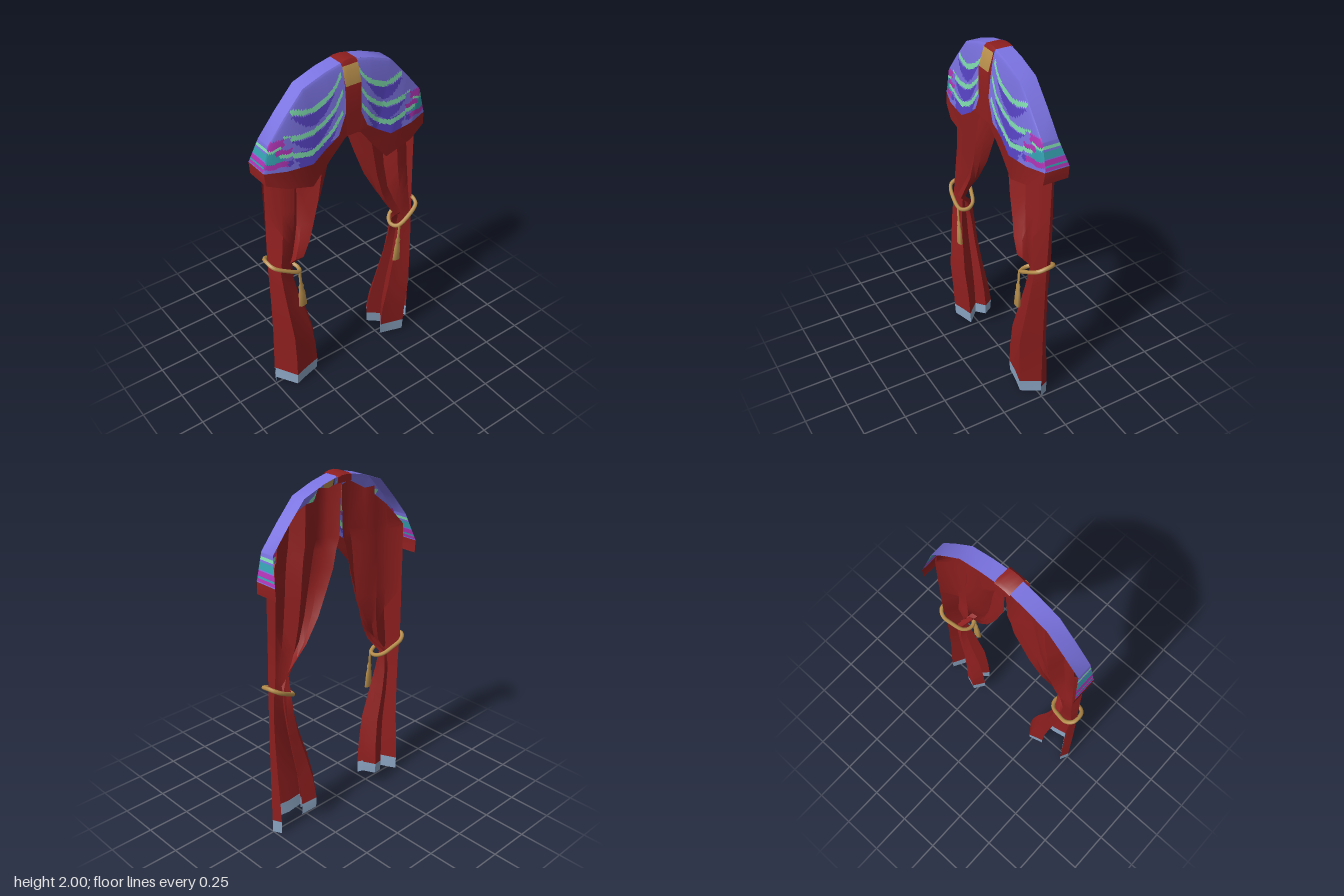
import * as THREE from 'three';
import { toCreasedNormals } from 'three/addons/utils/BufferGeometryUtils.js';

const mat = (name, color, side = THREE.DoubleSide) => {
  const m = new THREE.MeshStandardMaterial({ color, side });
  m.name = name;
  return m;
};

// Piecewise-linear lookup of y in a list of [x, y] points
function interp(pts, x) {
  if (x <= pts[0][0]) return pts[0][1];
  for (let i = 1; i < pts.length; i++) {
    const [a, b] = [pts[i - 1], pts[i]];
    if (x <= b[0]) return b[1] + (a[1] - b[1]) * (b[0] - x) / (b[0] - a[0]);
  }
  return pts[pts.length - 1][1];
}

// Sheet through rows of points; paint(row, centre) picks each cell's material
function sheet(name, rows, mats, crease, paint) {
  const cols = rows[0].length;
  const buckets = mats.map(() => []);
  for (let r = 0; r < rows.length - 1; r++) {
    for (let c = 0; c < cols - 1; c++) {
      const p = rows[r][c], q = rows[r + 1][c + 1];
      const mid = [(p[0] + q[0]) / 2, (p[1] + q[1]) / 2];
      const a = r * cols + c, d = a + cols;
      buckets[paint(r, mid)].push(a, d, a + 1, a + 1, d, d + 1);
    }
  }
  const g = new THREE.BufferGeometry();
  g.setAttribute('position', new THREE.Float32BufferAttribute(rows.flat(2), 3));
  g.setIndex(buckets.flat());
  let start = 0;
  buckets.forEach((b, i) => {
    if (b.length) g.addGroup(start, b.length, i);
    start += b.length;
  });
  const mesh = new THREE.Mesh(toCreasedNormals(g, crease), mats);
  mesh.name = name;
  return mesh;
}

// Arch outline shared by the valance and the curtain tops
const ARCH = [[0, 2], [0.04, 1.99], [0.14, 1.967], [0.27, 1.92], [0.38, 1.80], [0.48, 1.68], [0.515, 1.54]];

// Valance ribs: top x,y / cloth bottom x,y,z / border bottom x,y,z
const RIBS = [
  [0.035, 1.99, 0.04, 1.74, 0.08, 0.02, 1.60, 0.08],
  [0.14, 1.967, 0.09, 1.62, 0.085, 0.05, 1.59, 0.082],
  [0.27, 1.92, 0.16, 1.565, 0.075, 0.14, 1.475, 0.068],
  [0.38, 1.80, 0.25, 1.51, 0.085, 0.24, 1.36, 0.066],
  [0.48, 1.68, 0.40, 1.52, 0.075, 0.40, 1.415, 0.075],
  [0.515, 1.54, 0.515, 1.53, 0.04, 0.51, 1.46, 0.045],
];

// Swag pattern: mint lines with dark folds below them
const SWAGS = [
  [[0.05, 1.94], [0.10, 1.87], [0.16, 1.825], [0.22, 1.80], [0.28, 1.80], [0.345, 1.82]],
  [[0.05, 1.85], [0.10, 1.77], [0.17, 1.71], [0.24, 1.68], [0.31, 1.68], [0.40, 1.695]],
  [[0.06, 1.74], [0.12, 1.66], [0.18, 1.605], [0.25, 1.575], [0.32, 1.585], [0.42, 1.605]],
];
const [LIGHT, DARK, MINT, TEAL, PINK, RED] = [0, 1, 2, 3, 4, 5];

function frontPaint(x, y) {
  x = Math.abs(x);
  if (x > 0.36 && y < 1.695) {
    const yy = y + 0.005 * Math.sin(x * 70);
    if (yy > 1.655) return x > 0.4 && x < 0.485 ? PINK : LIGHT;
    if (yy > 1.64) return x > 0.42 ? MINT : LIGHT;
    if (yy > 1.615) return x < 0.45 ? PINK : TEAL;
    if (yy > 1.595) return x < 0.43 ? MINT : TEAL;
    if (yy > 1.578) return x > 0.41 ? TEAL : LIGHT;
    if (yy > 1.548) return x > 0.39 ? PINK : DARK;
    return LIGHT;
  }
  for (const s of SWAGS) {
    const d = y - interp(s, x);
    if (x < s[0][0] || x > s[s.length - 1][0]) continue;
    if (Math.abs(d) < 0.014) return MINT;
    const lens = 0.065 * Math.sin(Math.PI * Math.min(1, Math.max(0, (x - 0.09) / 0.27)));
    if (d < -0.018 && d > -0.018 - lens) return DARK;
  }
  return y < 1.60 && x < 0.33 ? DARK : LIGHT;
}

// Side wing colour bands: lower limit and colour
const BANDS = [[1.66, LIGHT], [1.643, MINT], [1.632, LIGHT], [1.595, TEAL], [1.587, LIGHT], [1.563, PINK],
  [1.553, TEAL], [1.535, PINK]];
const wingPaint = y => (BANDS.find(b => y > b[0]) || [0, LIGHT])[1];

function valance(s, mats) {
  const group = new THREE.Group();
  const NU = 60, NV = 48;
  const rib = u => {
    const i = Math.min(4, Math.floor(u * 5)), t = u * 5 - i;
    return RIBS[i].map((v, k) => v + (RIBS[i + 1][k] - v) * t);
  };
  const front = [];
  for (let v = 0; v <= NV; v++) {
    const t = v / NV;
    front.push(Array.from({ length: NU + 1 }, (_, c) => {
      const [x0, y0, x1, y1, z1] = rib(c / NU);
      return [s * (x0 + (x1 - x0) * t), y0 + (y1 - y0) * t, 0.035 + (z1 - 0.035) * Math.pow(t, 0.65)];
    }));
  }
  const border = [2, 5].map(k => RIBS.map(r => [s * r[k], r[k + 1], r[k + 2]]));
  group.add(sheet('valanceFront', front, mats, 0.65, (r, m) => frontPaint(m[0], m[1])));
  group.add(sheet('valanceBorder', border, mats, 0.65, () => RED));

  // Top strip following the arch, flaring backward into the side wing
  const path = ARCH.slice(1, 6).map(([x, y]) => [x, y, -0.053]);
  for (let i = 1; i <= 28; i++) {
    const t = i / 28;
    path.push([0.48 + 0.035 * t, 1.68 - 0.15 * t, -0.053 - 0.05 * t]);
  }
  path.push([0.51, 1.46, -0.103]);
  const strip = path.map(([x, y, z]) => [[s * x, y, y < 1.5 ? 0.045 : 0.036], [s * x, y, z]]);
  group.add(sheet('valanceTop', strip, mats, 0.65, (r, m) => r === strip.length - 2 ? RED : wingPaint(m[1])));
  group.name = s > 0 ? 'leftValance' : 'rightValance';
  return group;
}

// Pleats from outer to inner edge: [fraction of width, z] when hanging, gathered low, and hem lift
const UPPER = [[0, -0.015], [0.07, -0.048], [0.2, 0.015], [0.38, 0.03], [0.5, -0.035], [0.63, -0.025], [0.78, 0.03], [0.9, 0.015], [1, -0.035]];
const LOWER = [[0, 0.005], [0.08, -0.048], [0.33, 0.1], [0.6, 0.078], [0.86, 0.07], [0.7, 0.0], [1, -0.025], [0.85, -0.088], [0.58, -0.055]];
const LIFT = [0, 0, 0.005, 0.012, 0.03, 0.06, 0.1, 0.09, 0.06];
// Height, inner edge x, blend toward the lower pleats, depth to front and back, forward bulge of the inner edge
const LEVELS = [
  [0, 0.2, 1, 0.85, 0.95, 0], [0.078, 0.2, 1, 0.9, 1, 0], [0.22, 0.213, 1, 0.95, 0.85, 0], [0.4, 0.25, 1, 1.03, 0.62, 0],
  [0.6, 0.305, 1, 0.8, 0.5, 0], [0.74, 0.334, 0.9, 0.7, 0.5, 0], [0.86, 0.343, 0.75, 0.62, 0.6, 0.01], [0.93, 0.3, 0.6, 0.7, 0.75, 0.07],
  [1.02, 0.235, 0.4, 0.9, 0.85, 0.055], [1.1, 0.188, 0.3, 1, 0.9, 0.035], [1.24, 0.128, 0.15, 1.1, 0.95, 0.02], [1.4, 0.082, 0.05, 1.1, 1, 0.01],
  [1.5, 0.058, 0, 1.1, 1, 0], [1.6, 0.035, 0, 1, 1, 0], [1.66, 0.012, 0, 0.9, 1, 0],
];

function curtain(s, mats) {
  const topAt = (x, i) => interp(ARCH, x) - (i % 2 ? 0.07 : 0.045);
  const rows = LEVELS.map(([y, inner, b, front, back, bulge]) => UPPER.map(([f, z], i) => {
    const g = f + (LOWER[i][0] - f) * b;
    const lift = LIFT[i] * Math.max(0, 1 - y / 0.6);
    const x = 0.5 - g * (0.5 - inner), zz = z + (LOWER[i][1] - z) * b;
    return [s * x, Math.min(y + lift, topAt(x, i)), zz * (zz > 0 ? front : back) + bulge * (i > 4 ? 1 : 0)];
  }));
  // Jagged top edge tucked under the arch
  rows.push(UPPER.map(([f, z], i) => {
    const x = 0.487 * (1 - f) + 0.001;
    return [s * x, topAt(x, i), z * (z > 0 ? 0.7 : 1)];
  }));
  return sheet(s > 0 ? 'leftCurtain' : 'rightCurtain', rows, mats, 0.9, r => r === 0 ? 1 : 0);
}

function tieback(s, gold) {
  const group = new THREE.Group();
  group.name = s > 0 ? 'leftTieback' : 'rightTieback';
  // Rope loop
  const pts = [[0.508, 0.938, -0.01], [0.495, 0.922, 0.042], [0.42, 0.88, 0.068], [0.345, 0.838, 0.062],
    [0.328, 0.835, 0.02], [0.35, 0.85, -0.025], [0.41, 0.885, -0.05], [0.465, 0.915, -0.06], [0.5, 0.935, -0.04]];
  const curve = new THREE.CatmullRomCurve3(pts.map(([x, y, z]) => new THREE.Vector3(s * x, y, z)), true);
  const rope = new THREE.Mesh(new THREE.TubeGeometry(curve, 40, 0.012, 6, true), gold);
  rope.name = 'rope';
  // Tassel: cord, knot and skirt
  const profile = [[0.001, 0], [0.027, 0], [0.022, 0.09], [0.015, 0.12], [0.018, 0.14], [0.01, 0.16], [0.009, 0.24], [0.001, 0.25]];
  const tassel = new THREE.Mesh(new THREE.LatheGeometry(profile.map(p => new THREE.Vector2(...p)), 8), gold);
  tassel.name = 'tassel';
  tassel.scale.z = 0.5;
  tassel.position.set(s * 0.336, 0.6, 0.074);
  tassel.rotation.z = -s * 0.06;
  group.add(rope, tassel);
  return group;
}

export function createModel() {
  const red = mat('curtainRed', 0x901f1f);
  const hem = mat('hemBlueGrey', 0x8ba5c2);
  const gold = mat('ropeGold', 0xb88f4c);
  const cloth = [mat('valanceViolet', 0x7a72e0), mat('valanceDarkViolet', 0x5743c4), mat('swagMint', 0x7fdcae),
    mat('trimTeal', 0x35a0b0), mat('trimMagenta', 0xb034b4), red];

  const model = new THREE.Group();
  model.name = 'drapedCurtains';
  for (const s of [1, -1]) model.add(valance(s, cloth), curtain(s, [red, hem]), tieback(s, gold));

  // Centre strap folded over the top, with a gold band
  const path = [[-0.058, 1.955], [-0.058, 1.985], [-0.04, 1.993], [0.04, 1.993], [0.055, 1.978], [0.085, 1.88], [0.088, 1.74], [0.087, 1.6]];
  const strap = path.map(([z, y], i) => [-1, -0.4, 0.4, 1].map(k =>
    [k * (i === 7 ? 0.04 : 0.048), y + (i > 0 && i < 4 && Math.abs(k) < 1 ? 0.007 : 0), z]));
  model.add(sheet('centreStrap', strap, [red, gold], 0.65, r => r === 4 ? 1 : 0));
  return model;
}
